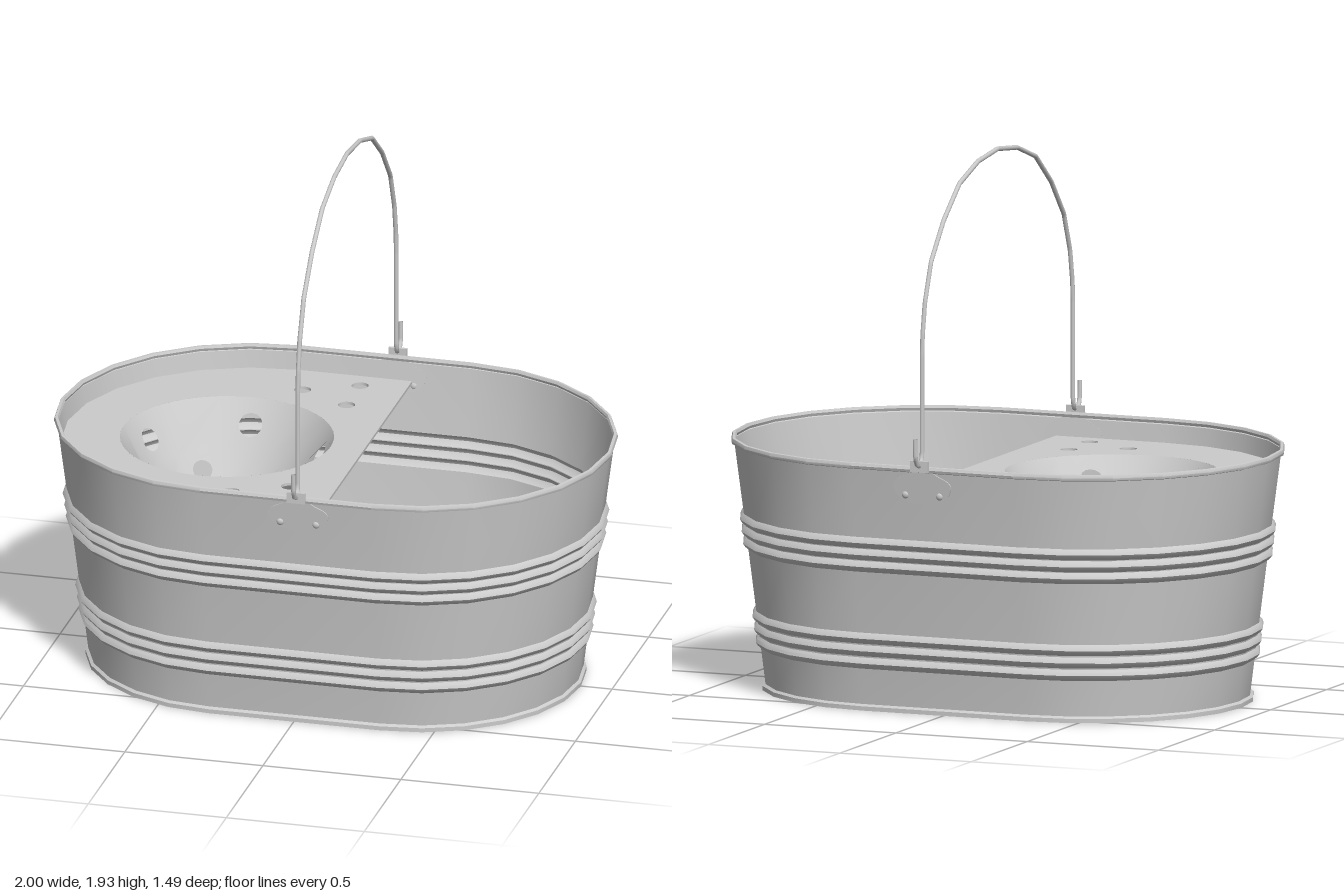
import * as THREE from 'three';
import { toCreasedNormals } from 'three/addons/utils/BufferGeometryUtils.js';

const CX = 0.31;                       // centres of the rounded ends
const ARC = 12;                        // sides per rounded end
const HX = 0.04;                       // handle plane
const PLATE_Y = 0.81;
const wallR = y => 0.565 + 0.127 * y;  // tapered wall offset
const metal = new THREE.MeshStandardMaterial({ color: 0xcccccc, side: THREE.DoubleSide });

function add(parent, name, geo) {
  const m = new THREE.Mesh(geo, metal);
  m.name = name;
  parent.add(m);
  return m;
}

// points of a rounded end, as (x, z)
function endArc(r, cx, from) {
  const pts = [];
  for (let i = 0; i <= ARC; i++) {
    const a = from + Math.PI * i / ARC;
    pts.push(new THREE.Vector2(cx + r * Math.cos(a), r * Math.sin(a)));
  }
  return pts;
}
const oval = r => [...endArc(r, CX, -Math.PI / 2), ...endArc(r, -CX, Math.PI / 2)];

// flat sheet drawn in (x, z), top face at y
function sheet(shape, y, thick) {
  const g = new THREE.ExtrudeGeometry(shape, { depth: thick, bevelEnabled: false, curveSegments: 32 });
  return g.rotateX(Math.PI / 2).translate(0, y, 0);
}

function circleHole(x, z, r) {
  return new THREE.Path().absarc(x, z, r, 0, Math.PI * 2, true);
}

// ribbed wall swept round the oval
function wallGeometry() {
  const prof = [[0.53, 0.02], [0.56, 0.035], [0.56, 0], [0.578, 0], [0.578, 0.015], [wallR(0.025), 0.022]];
  for (const y of [0.17, 0.215, 0.26, 0.52, 0.563, 0.606]) {
    for (const [dy, out] of [[-0.02, 0], [-0.011, 0.01], [0, 0.016], [0.011, 0.01], [0.02, 0]])
      prof.push([wallR(y + dy) + out, y + dy]);
  }
  const t = wallR(0.88);
  prof.push([t, 0.872], [t + 0.009, 0.875], [t + 0.012, 0.884], [t + 0.008, 0.894], [t - 0.002, 0.895], [t - 0.006, 0.886], [t - 0.002, 0.876]);
  const pos = [], idx = [];
  const n = 2 * (ARC + 1);
  prof.forEach(([r, y], j) => {
    oval(r).forEach(p => pos.push(p.x, y, p.y));
    if (j === 0) return;
    for (let i = 0; i < n; i++) {
      const k = (i + 1) % n, lo = (j - 1) * n, hi = j * n;
      idx.push(lo + i, hi + i, lo + k, hi + i, hi + k, lo + k);
    }
  });
  const g = new THREE.BufferGeometry();
  g.setAttribute('position', new THREE.Float32BufferAttribute(pos, 3));
  g.setIndex(idx);
  return toCreasedNormals(g, 0.7);
}

// strainer cone: cells drawn in (angle, radius), then rolled onto the cone
const BOWL = { x: -0.395, top: 0.375, bottom: 0.14, depth: 0.37 };
const SLOPE = BOWL.depth / (BOWL.top - BOWL.bottom);

function coneCell(a0, a1, r0, r1, hole) {
  const pts = [], N = 6;
  for (let i = 0; i <= N; i++) pts.push(new THREE.Vector2(a0 + (a1 - a0) * i / N, r0));
  for (let i = N; i >= 0; i--) pts.push(new THREE.Vector2(a0 + (a1 - a0) * i / N, r1));
  const shape = new THREE.Shape(pts);
  if (hole) {
    const [r, size] = hole;
    shape.holes.push(new THREE.Path().absellipse((a0 + a1) / 2, r, size / r, size / Math.hypot(1, SLOPE), 0, Math.PI * 2, true));
  }
  const g = new THREE.ShapeGeometry(shape, 8);
  const p = g.attributes.position, nor = g.attributes.normal, len = Math.hypot(1, SLOPE);
  for (let i = 0; i < p.count; i++) {
    const a = p.getX(i), r = p.getY(i), c = Math.cos(a), s = Math.sin(a);
    p.setXYZ(i, BOWL.x + r * c, PLATE_Y - (BOWL.top - r) * SLOPE, r * s);
    nor.setXYZ(i, -c * SLOPE / len, 1 / len, -s * SLOPE / len);
  }
  return g;
}

function strainer() {
  const group = new THREE.Group();
  group.name = 'strainerBowl';
  // [inner radius, outer radius, hole count, first hole angle, hole ring radius, hole size]
  const bands = [
    [0.275, 0.375, 5, -90, 0.322, 0.043],
    [0.2, 0.275, 5, -54, 0.237, 0.036],
    [0.14, 0.2, 6, -90, 0.174, 0.025],
  ];
  for (const [r0, r1, count, first, ring, size] of bands) {
    const half = Math.PI / count / 2;
    for (let i = 0; i < count * 2; i++) {
      const mid = THREE.MathUtils.degToRad(first) + i * half * 2;
      add(group, 'strainerWall', coneCell(mid - half, mid + half, r0, r1, i % 2 ? null : [ring, size]));
    }
  }
  const base = new THREE.CircleGeometry(BOWL.bottom, 40).rotateX(-Math.PI / 2);
  add(group, 'strainerBase', base.translate(BOWL.x, PLATE_Y - BOWL.depth, 0));
  return group;
}

function drainPlate() {
  const r = wallR(PLATE_Y) - 0.006;
  const shape = new THREE.Shape([...endArc(r, -CX, Math.PI / 2), new THREE.Vector2(0.1, -r), new THREE.Vector2(0.1, r)]);
  shape.holes.push(circleHole(BOWL.x, 0, BOWL.top));
  for (const s of [-1, 1])
    for (const [x, z] of [[-0.25, 0.487], [-0.065, 0.575], [-0.065, 0.39]])
      shape.holes.push(circleHole(x, s * z, 0.03));
  return sheet(shape, PLATE_Y, 0.01);
}

// wire handle with a hook at each end
function handleGeometry() {
  const half = [[0.735, 1.0], [0.732, 0.93], [0.718, 0.907], [0.7, 0.9], [0.682, 0.91], [0.673, 0.94], [0.673, 1.28],
    [0.668, 1.36], [0.648, 1.47], [0.592, 1.61], [0.48, 1.74], [0.34, 1.85], [0.175, 1.905]];
  const pts = half.map(([z, y]) => new THREE.Vector3(HX, y, z));
  const other = half.map(([z, y]) => new THREE.Vector3(HX, y, -z)).reverse();
  const path = new THREE.CatmullRomCurve3([...pts, new THREE.Vector3(HX, 1.925, 0), ...other], false, 'catmullrom', 0);
  return new THREE.TubeGeometry(path, 160, 0.0085, 8);
}

// riveted ear on the wall that holds the handle
function handleEar() {
  const ear = new THREE.Group();
  ear.name = 'handleEar';
  const shape = new THREE.Shape();
  shape.moveTo(-0.035, 0);
  shape.bezierCurveTo(-0.05, -0.04, -0.11, -0.03, -0.11, -0.07);
  shape.bezierCurveTo(-0.1, -0.12, -0.05, -0.13, 0, -0.13);
  shape.bezierCurveTo(0.05, -0.13, 0.1, -0.12, 0.11, -0.07);
  shape.bezierCurveTo(0.11, -0.03, 0.05, -0.04, 0.035, 0);
  const pad = new THREE.Group();
  pad.name = 'earPad';
  pad.position.set(HX, 0.89, wallR(0.89));
  pad.rotation.x = Math.atan(0.127);
  add(pad, 'earPlate', new THREE.ExtrudeGeometry(shape, { depth: 0.005, bevelEnabled: false }));
  for (const s of [-1, 1]) {
    const rivet = add(pad, 'rivet', new THREE.SphereGeometry(0.013, 12, 8));
    rivet.position.set(s * 0.065, -0.1, 0.004);
    rivet.scale.z = 0.6;
  }
  ear.add(pad);
  add(ear, 'earTab', new THREE.BoxGeometry(0.066, 0.04, 0.012)).position.set(HX, 0.897, 0.695);
  return ear;
}

export function createModel() {
  const model = new THREE.Group();
  model.name = 'mopBucket';
  add(model, 'bucketWall', wallGeometry());
  add(model, 'bucketFloor', sheet(new THREE.Shape(oval(0.568)), 0.02, 0.018));
  add(model, 'drainPlate', drainPlate());
  model.add(strainer());
  add(model, 'handle', handleGeometry());
  const front = handleEar(), back = handleEar();
  back.rotation.y = Math.PI;
  back.position.x = 2 * HX;
  model.add(front, back);
  return model;
}
